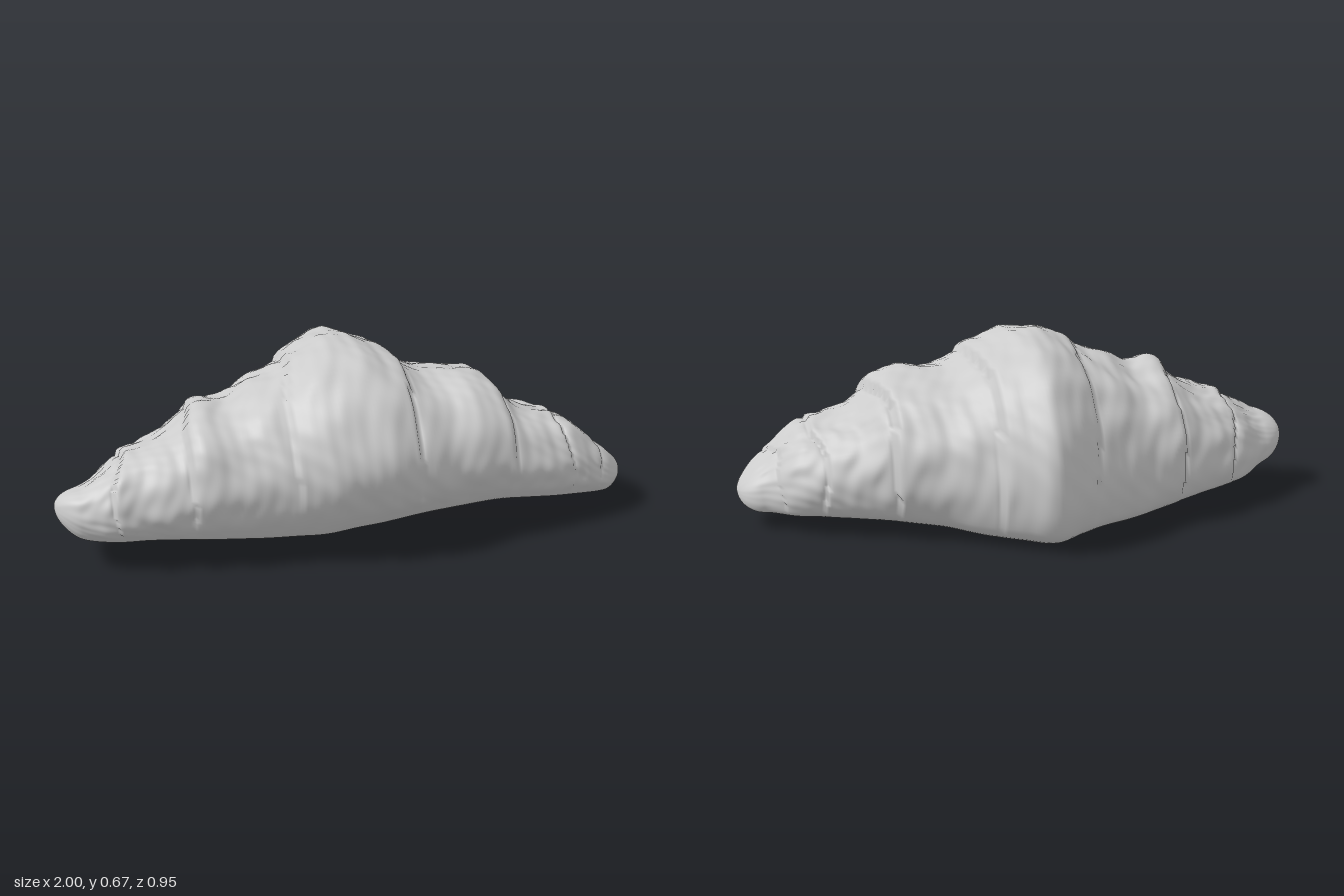
import * as THREE from 'three';

// Stations from left to right: [x, back z, front z, top y, floor lift]
const stations = [
  [-1, 0.06, 0.25, 0.27, 0.09], [-0.9, 0.04, 0.285, 0.285, 0.055], [-0.8, -0.06, 0.32, 0.345, 0.04],
  [-0.7, -0.12, 0.335, 0.385, 0.035], [-0.6, -0.17, 0.36, 0.425, 0.03], [-0.5, -0.22, 0.38, 0.505, 0.02],
  [-0.4, -0.26, 0.39, 0.5, 0.01], [-0.3, -0.30, 0.4, 0.55, 0], [-0.2, -0.345, 0.425, 0.585, 0],
  [-0.1, -0.41, 0.455, 0.645, 0], [0, -0.472, 0.463, 0.663, 0], [0.1, -0.42, 0.465, 0.64, 0],
  [0.2, -0.355, 0.44, 0.585, 0], [0.3, -0.325, 0.41, 0.53, 0.005], [0.4, -0.28, 0.39, 0.53, 0.01],
  [0.5, -0.23, 0.375, 0.505, 0.015], [0.6, -0.17, 0.36, 0.405, 0.015], [0.7, -0.12, 0.34, 0.365, 0.015],
  [0.8, -0.06, 0.32, 0.33, 0.015], [0.9, 0.04, 0.29, 0.24, 0.01], [1, 0.06, 0.26, 0.175, 0.01],
];

// Cross-section as fractions of depth (back to front) and height
const section = new THREE.CatmullRomCurve3([
  [0.84, 0], [0.925, 0.12], [0.977, 0.265], [1, 0.42], [0.99, 0.54], [0.955, 0.66], [0.89, 0.8],
  [0.82, 0.89], [0.71, 0.965], [0.52, 1], [0.32, 0.928], [0.21, 0.855], [0.127, 0.753],
  [0.053, 0.61], [0, 0.35], [0.01, 0.175], [0.053, 0.075], [0.2, 0], [0.35, 0], [0.5, 0], [0.7, 0],
].map(([u, v]) => new THREE.Vector3(u, v, 0)), true);

// Edges of the rolled layers: [x at the crest, step height, lean towards the back]
const seams = [
  [0.19, 0.02, 0.05], [0.53, 0.022, 0.08], [0.75, 0.014, 0.06], [0.88, 0.01, 0.05],
  [-0.19, 0.012, -0.06], [-0.54, 0.02, -0.05], [-0.78, 0.016, -0.06],
];

const smooth = THREE.MathUtils.smoothstep;

function stationAt(x) {
  const f = THREE.MathUtils.clamp((x + 1) * 10, 0, 19.9999);
  const i = Math.floor(f), t = f - i;
  const at = (k) => stations[THREE.MathUtils.clamp(k, 0, 20)];
  return [1, 2, 3, 4].map((c) => {
    const [a, b, d, e] = [at(i - 1)[c], at(i)[c], at(i + 1)[c], at(i + 2)[c]];
    return b + 0.5 * t * (d - a + t * (2 * a - 5 * b + 4 * d - e + t * (3 * (b - d) + e - a)));
  });
}

// Height of layer steps and baked wrinkles above the plain form
function relief(x, u, v, angle) {
  let h = 0;
  for (const [x0, size, lean] of seams) {
    const wave = 0.012 * Math.sin(angle * 3 + x0 * 20);
    const d = (x - x0 - lean * (u - 0.55) - wave) * Math.sign(x0);
    h += d < 0 ? size * 0.7 * Math.exp(d / 0.06) : -size * 0.6 * Math.exp(-d / 0.035);
    h -= size * 0.35 * Math.exp(-((d / 0.009) ** 2));
  }
  // Layers blend together low on the front
  h *= 1 - 0.65 * smooth(u, 0.7, 1) * (1 - smooth(v, 0.3, 0.8));
  const warp = x + 0.03 * Math.sin(angle * 4 + x * 6);
  h += 0.003 * Math.sin(warp * 47 + 2 * Math.sin(angle * 3));
  h += 0.004 * Math.sin(warp * 23 - angle * 5) * Math.sin(angle * 7 + x * 11);
  h += 0.002 * Math.sin(warp * 83 + angle * 9) * Math.sin(angle * 13 - x * 31);
  return h * smooth(v, 0, 0.35) * (1 - 0.8 * smooth(Math.abs(x), 0.82, 0.97));
}

function pastryGeometry(rows = 280, cols = 120) {
  const ring = section.getSpacedPoints(cols).slice(0, cols);
  const positions = [], index = [];
  for (let i = 0; i <= rows; i++) {
    const x = Math.sin((i / rows - 0.5) * Math.PI);
    const [back, front, top, lift] = stationAt(x);
    const end = Math.max(0, (Math.abs(x) - 0.92) / 0.08);
    const round = Math.sqrt(Math.max(0, 1 - end * end));
    // The base curls up at the front and is tucked in at the back on the left half
    const curl = 0.04 * smooth(x, -0.15, 0.25) * (1 - smooth(x, 0.5, 0.85));
    const tuck = 0.1 * smooth(x, 0.18, 0.35) * (1 - smooth(x, 0.7, 0.9));
    const floor = (z) => 0.033 + 0.117 * z + lift + curl * smooth(z, 0.08, 0.4);
    const midZ = (back + front) / 2, midY = (floor(midZ) + top) / 2;
    ring.forEach(({ x: u, y }, j) => {
      const v = Math.max(y, 0);
      // The crest moves forward towards the tips
      const w = u + 0.65 * Math.min(Math.abs(x), 0.8) * v * u * (1 - u) + tuck * (1 - v) ** 2 * (1 - u);
      const z = back + (front - back) * w;
      const dz = z - midZ, dy = floor(z) + v * (top - floor(z)) - midY;
      const k = round * (1 + relief(x, u, v, Math.atan2(dy, dz)) / Math.hypot(dz, dy));
      positions.push(x, Math.max(0, midY + dy * k), midZ + dz * k);
      if (i < rows) {
        const a = i * cols + j, b = i * cols + (j + 1) % cols;
        index.push(a, a + cols, b, b, a + cols, b + cols);
      }
    });
  }
  const geometry = new THREE.BufferGeometry();
  geometry.setAttribute('position', new THREE.Float32BufferAttribute(positions, 3));
  geometry.setIndex(index);
  geometry.computeVertexNormals();
  return geometry;
}

export function createModel() {
  const group = new THREE.Group();
  group.name = 'croissant';
  const pastry = new THREE.Mesh(pastryGeometry(), new THREE.MeshStandardMaterial({ color: 0xcccccc }));
  pastry.name = 'rolledPastry';
  group.add(pastry);
  return group;
}
